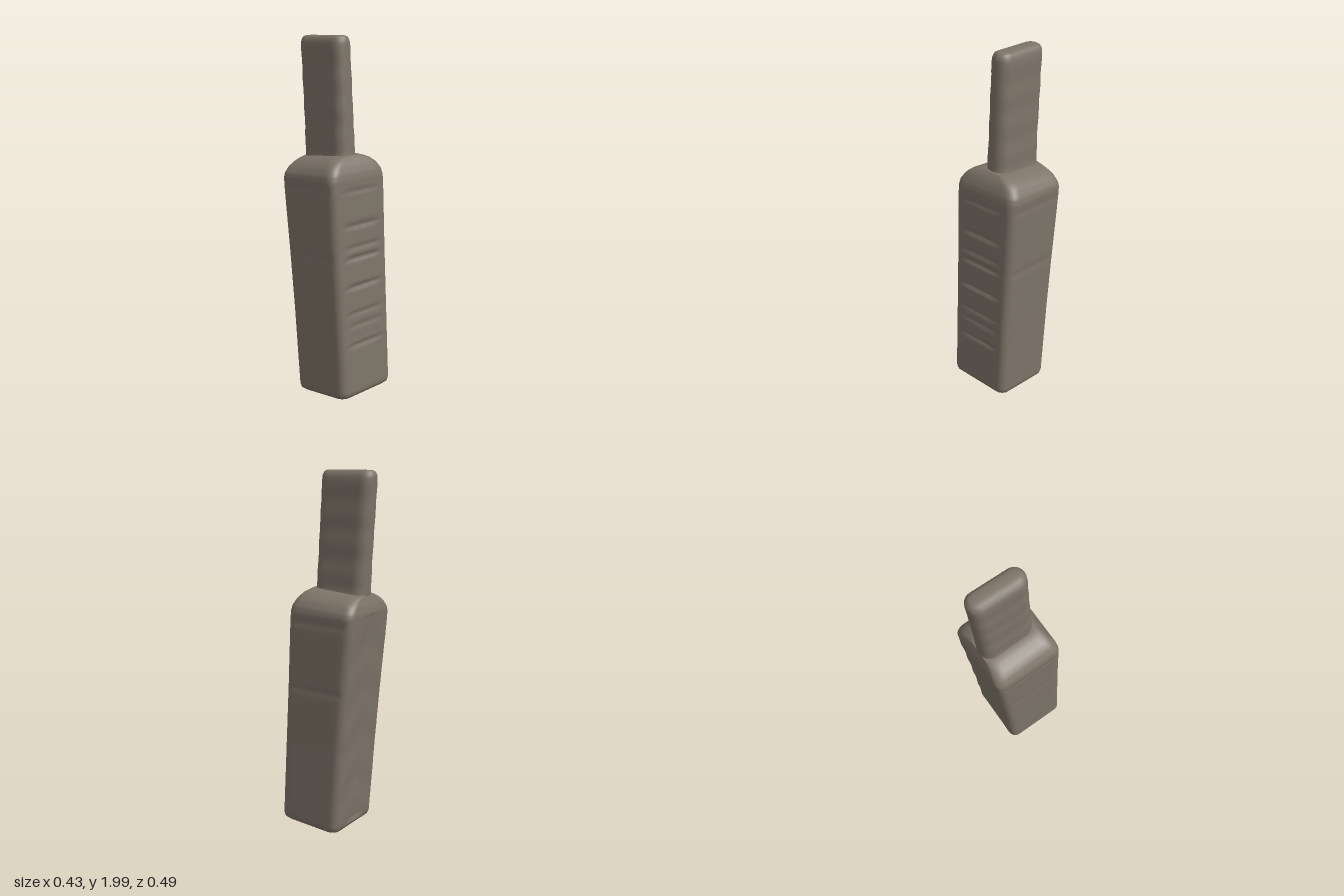
import * as THREE from 'three';

// Rounded-rectangle outline: even points along each edge, arcs at the corners.
function ring(hx, zf, zb, r) {
  const pts = [], cz = (zf + zb) / 2, hz = (zf - zb) / 2;
  const corners = [[1, 1], [-1, 1], [-1, -1], [1, -1]];
  corners.forEach(([sx, sz], k) => {
    const cx = sx * (hx - r), z0 = cz + sz * (hz - r);
    for (let i = 0; i <= 6; i++) {
      const a = (k + i / 6) * Math.PI / 2;
      pts.push([cx + r * Math.cos(a), z0 + r * Math.sin(a)]);
    }
    const [nx, nz] = corners[(k + 1) % 4];
    const p = pts[pts.length - 1], a = (k + 1) * Math.PI / 2;
    const q = [nx * (hx - r) + r * Math.cos(a), cz + nz * (hz - r) + r * Math.sin(a)];
    for (let i = 1; i < 14; i++) {
      pts.push([p[0] + (q[0] - p[0]) * i / 14, p[1] + (q[1] - p[1]) * i / 14]);
    }
  });
  return pts;
}

// Loft through keys [y, halfWidth, frontZ, backZ, cornerRadius, tilt], with a surface rule.
function loft(keys, step, rule) {
  const rows = [];
  keys.forEach((k, i) => {
    rows.push(k);
    const next = keys[i + 1];
    if (!next) return;
    const n = Math.max(1, Math.round((next[0] - k[0]) / step));
    for (let j = 1; j < n; j++) rows.push(k.map((v, c) => v + (next[c] - v) * j / n));
  });
  const pos = [], idx = [];
  let n = 0;
  for (const [y, hx, zf, zb, r, tilt] of rows) {
    const pts = ring(hx, zf, zb, r), cz = (zf + zb) / 2;
    n = pts.length;
    for (const [x, z] of pts) {
      const [dx, dz] = rule(x, y, z, hx, zf, zb);
      pos.push(x + dx, y + tilt * (z - cz), z + dz);
    }
  }
  for (let j = 0; j < rows.length - 1; j++) {
    for (let i = 0; i < n; i++) {
      const a = j * n + i, b = j * n + (i + 1) % n;
      idx.push(a, a + n, b, b, a + n, b + n);
    }
  }
  // End caps
  [0, rows.length - 1].forEach((j, top) => {
    const [y, , zf, zb] = rows[j], c = pos.length / 3;
    pos.push(0, y, (zf + zb) / 2);
    for (let i = 0; i < n; i++) {
      const a = j * n + i, b = j * n + (i + 1) % n;
      if (top) idx.push(c, b, a); else idx.push(c, a, b);
    }
  });
  const g = new THREE.BufferGeometry();
  g.setAttribute('position', new THREE.Float32BufferAttribute(pos, 3));
  g.setIndex(idx);
  g.computeVertexNormals();
  return g;
}

// Worn keypad grooves across the front: [height, depth]
const grooves = [[1.18, 0.006], [0.99, 0.01], [0.87, 0.008], [0.81, 0.012],
  [0.65, 0.012], [0.5, 0.008], [0.43, 0.007], [0.32, 0.01]];

function bodyRule(x, y, z, hx, zf, zb) {
  if (y < 0.06 || y > 1.24) return [0, 0];
  let dx = 0, dz = 0;
  if (z > zf - 0.004) {
    const across = Math.max(0, 1 - Math.pow(Math.abs(x) / 0.15, 4));
    for (const [gy, d] of grooves) dz -= d * across * Math.exp(-Math.pow((y - gy) / 0.011, 2));
    // Faint gaps between the key columns
    if (y > 0.35 && y < 1.02) dz -= 0.003 * across * Math.pow(Math.cos(x * 50), 2);
  } else if (z < zb + 0.004) {
    // Slightly hollow, uneven back
    dz = 0.007 * Math.max(0, 1 - Math.pow(x / 0.1, 2)) + 0.002 * Math.sin(y * 24 + 20 * Math.abs(x));
  }
  if (Math.abs(x) > hx - 0.004) {
    const s = Math.exp(-Math.pow((y - 0.82) / 0.02, 2)) + Math.exp(-Math.pow((y - 1.19) / 0.02, 2));
    dx = -Math.sign(x) * 0.003 * s;
  }
  return [dx, dz];
}

export function createModel() {
  const group = new THREE.Group();
  const casing = new THREE.MeshStandardMaterial({ color: 0x7d7468 });
  casing.name = 'casing grey brown';

  // Leaning handset body with rounded shoulders
  const body = new THREE.Mesh(loft([
    [0.018, 0.155, 0.205, -0.075, 0.04, 0.09],
    [0.022, 0.18, 0.23, -0.1, 0.045, 0.09],
    [0.034, 0.195, 0.244, -0.114, 0.045, 0.09],
    [0.055, 0.2, 0.248, -0.121, 0.045, 0.09],
    [0.5, 0.203, 0.222, -0.156, 0.045, 0.07],
    [0.82, 0.207, 0.202, -0.184, 0.045, 0.05],
    [1.18, 0.212, 0.182, -0.219, 0.045, 0.03],
    [1.24, 0.213, 0.179, -0.225, 0.05, 0.04],
    [1.27, 0.206, 0.172, -0.223, 0.05, 0.06],
    [1.305, 0.182, 0.155, -0.217, 0.05, 0.08],
    [1.33, 0.15, 0.138, -0.208, 0.05, 0.09],
    [1.345, 0.115, 0.122, -0.203, 0.05, 0.09],
    [1.355, 0.08, 0.112, -0.2, 0.05, 0.09],
  ], 0.011, bodyRule), casing);
  body.name = 'body';

  // Flat, broad antenna with a gentle dip along its top
  const wave = (x, y) => [Math.sign(x) * 0.0015 * Math.sin(y * 40), 0];
  const antennaGeometry = loft([
    [1.32, 0.08, 0.115, -0.2, 0.065, 0.05],
    [1.37, 0.071, 0.109, -0.205, 0.062, 0.04],
    [1.5, 0.066, 0.102, -0.212, 0.06, 0.02],
    [1.94, 0.06, 0.076, -0.242, 0.055, 0.01],
    [1.97, 0.058, 0.074, -0.243, 0.055, 0.01],
    [1.988, 0.05, 0.066, -0.235, 0.048, 0.01],
    [1.996, 0.036, 0.052, -0.221, 0.034, 0.01],
    [1.998, 0.014, 0.03, -0.199, 0.013, 0.01],
  ], 0.02, wave);
  const antenna = new THREE.Mesh(antennaGeometry, casing);
  antenna.name = 'antenna';

  group.add(body, antenna);
  return group;
}
